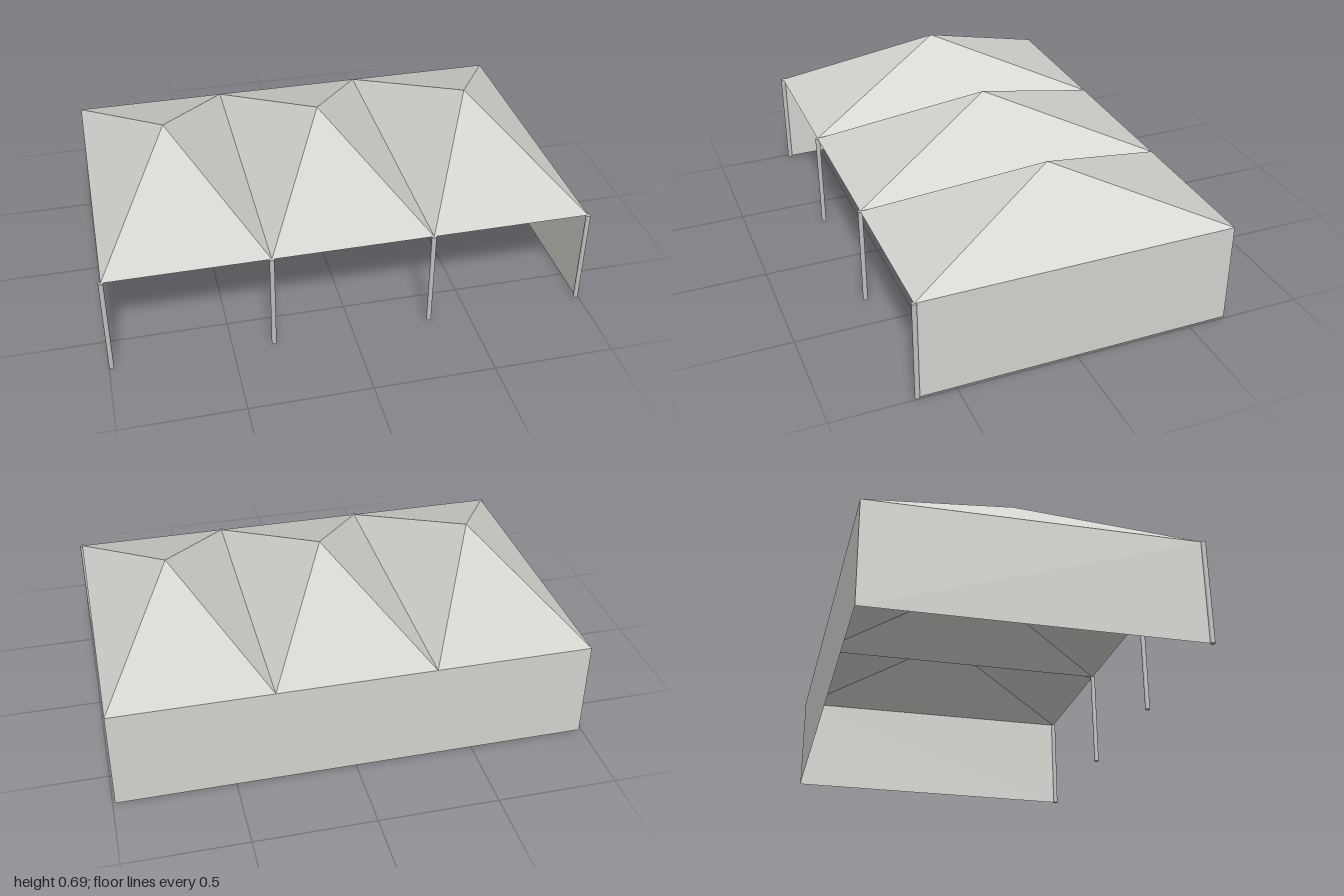
import * as THREE from 'three';

const BAY = 0.66, HALF = 0.99, EAVE = 0.43, PEAK = 0.693;
const BACK = -0.665, FRONT = 0.655;

export function createModel() {
  const canvas = new THREE.MeshStandardMaterial({ color: 0xd2d2ce, side: THREE.DoubleSide });
  canvas.name = 'canvas';
  const metal = new THREE.MeshStandardMaterial({ color: 0xc0c0c0 });
  metal.name = 'poleMetal';
  const group = new THREE.Group();
  group.name = 'marquee';

  const add = (name, geometry, material, x, y, z) => {
    const mesh = new THREE.Mesh(geometry, material);
    mesh.name = name;
    mesh.position.set(x, y, z);
    group.add(mesh);
    return mesh;
  };

  // Pyramid roof of one bay: four triangles, open underneath
  const depth = FRONT - BACK, midZ = (FRONT + BACK) / 2;
  const corners = [[-BAY / 2, depth / 2], [BAY / 2, depth / 2], [BAY / 2, -depth / 2], [-BAY / 2, -depth / 2]];
  const points = [];
  corners.forEach(([x, z], i) => {
    const [nx, nz] = corners[(i + 1) % 4];
    points.push(x, 0, z, nx, 0, nz, 0, PEAK - EAVE, 0);
  });
  const roof = new THREE.BufferGeometry();
  roof.setAttribute('position', new THREE.Float32BufferAttribute(points, 3));
  roof.computeVertexNormals();
  for (const i of [-1, 0, 1]) add('roofBay', roof, canvas, i * BAY, EAVE, midZ);

  // Fabric walls on the back and both ends, open at the front
  const backWall = add('backWall', new THREE.PlaneGeometry(2 * HALF, EAVE), canvas, 0, EAVE / 2, BACK);
  backWall.rotation.y = Math.PI;
  for (const side of [-1, 1]) {
    const wall = add(side > 0 ? 'leftWall' : 'rightWall',
      new THREE.PlaneGeometry(depth, EAVE), canvas, side * HALF, EAVE / 2, midZ);
    wall.rotation.y = side * Math.PI / 2;
  }

  // Round poles along the open front
  const pole = new THREE.CylinderGeometry(0.01, 0.01, EAVE, 16);
  for (let i = 0; i < 4; i++) add('frontPole', pole, metal, -HALF + i * BAY, EAVE / 2, FRONT);

  return group;
}
